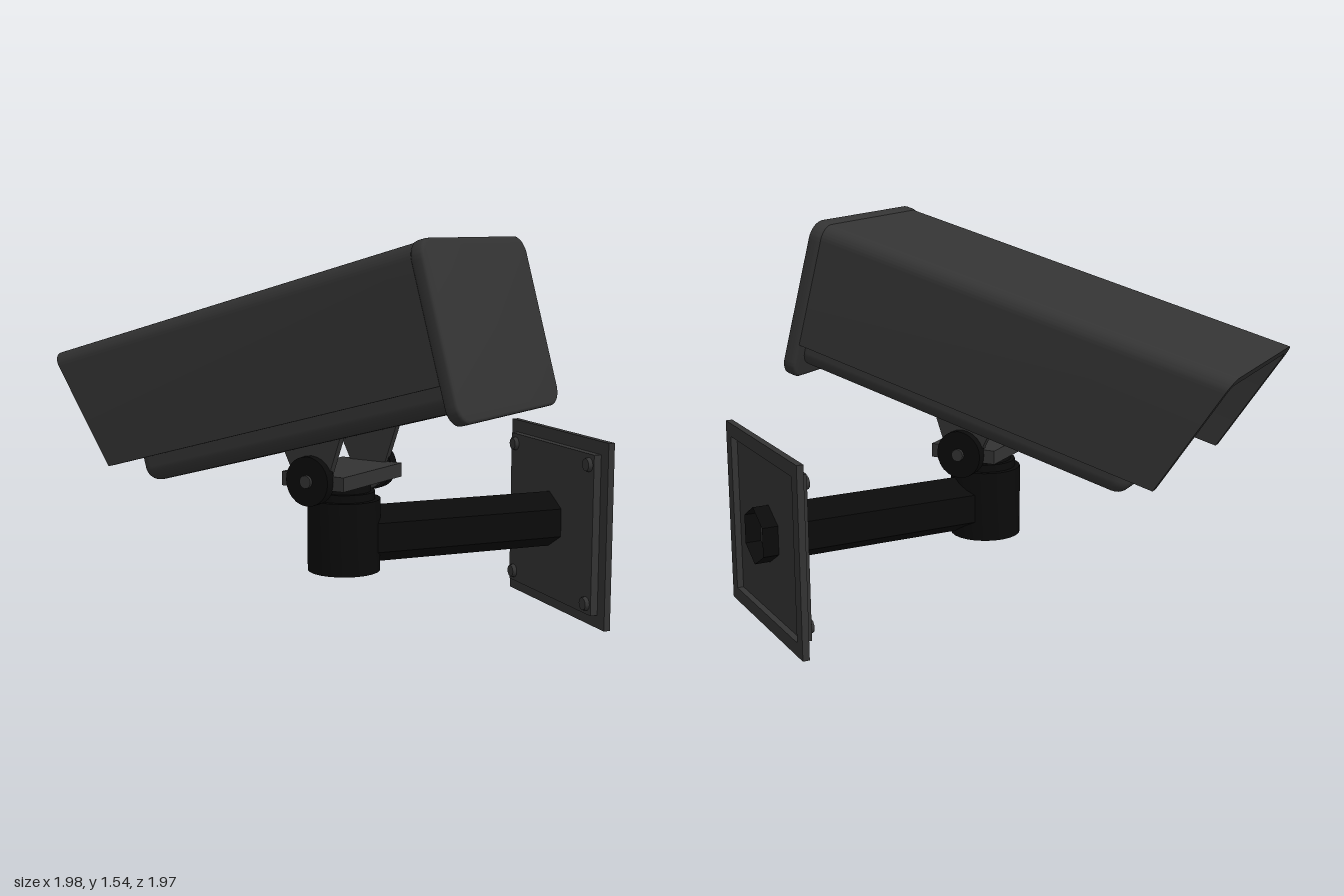
import * as THREE from 'three';
import { toCreasedNormals } from 'three/addons/utils/BufferGeometryUtils.js';
import { RoundedBoxGeometry } from 'three/addons/geometries/RoundedBoxGeometry.js';

const YAW = THREE.MathUtils.degToRad(35);
const PITCH = THREE.MathUtils.degToRad(15.3);

const grey = new THREE.MeshStandardMaterial({ color: 0x333333, side: THREE.DoubleSide });
const black = new THREE.MeshStandardMaterial({ color: 0x0a0a0a, side: THREE.DoubleSide });

function add(parent, name, geometry, material, x = 0, y = 0, z = 0) {
  const mesh = new THREE.Mesh(geometry, material);
  mesh.name = name;
  mesh.position.set(x, y, z);
  parent.add(mesh);
  return mesh;
}

function roundedRect(w, h, r) {
  const s = new THREE.Shape();
  const a = w / 2, b = h / 2;
  s.moveTo(-a + r, -b);
  s.lineTo(a - r, -b).absarc(a - r, -b + r, r, -Math.PI / 2, 0);
  s.lineTo(a, b - r).absarc(a - r, b - r, r, 0, Math.PI / 2);
  s.lineTo(-a + r, b).absarc(-a + r, b - r, r, Math.PI / 2, Math.PI);
  s.lineTo(-a, -b + r).absarc(-a + r, -b + r, r, Math.PI, Math.PI * 1.5);
  return s;
}

// U-shaped cover, open below and behind, with a slanted rear edge
function coverGeometry() {
  const w = 0.385, low = -0.506, top = -0.005, r = 0.06, wall = 0.035;
  const s = new THREE.Shape();
  s.moveTo(w, low);
  s.lineTo(w, top - r).absarc(w - r, top - r, r, 0, Math.PI / 2);
  s.lineTo(-w + r, top).absarc(-w + r, top - r, r, Math.PI / 2, Math.PI);
  s.lineTo(-w, low).lineTo(-w + wall, low);
  const i = w - wall, ri = r - wall;
  s.lineTo(-i, top - r).absarc(-w + r, top - r, ri, Math.PI, Math.PI / 2, true);
  s.lineTo(w - r, top - wall).absarc(w - r, top - r, ri, Math.PI / 2, 0, true);
  s.lineTo(i, low);
  const g = new THREE.ExtrudeGeometry(s, { depth: 1.77, bevelEnabled: false, curveSegments: 8 });
  g.translate(0, 0, -1.795);
  const p = g.attributes.position;
  for (let k = 0; k < p.count; k++) {
    if (p.getZ(k) < -1) p.setZ(k, p.getZ(k) - p.getY(k) * 0.333);
  }
  return toCreasedNormals(g, 0.6);
}

function buildHead() {
  const head = new THREE.Group();
  head.name = 'cameraHead';
  head.rotation.order = 'YXZ';
  head.rotation.set(-PITCH, YAW, 0);
  head.position.set(0.309, 1.55, 0.638);

  add(head, 'cover', coverGeometry(), grey);
  add(head, 'housing', new RoundedBoxGeometry(0.67, 0.56, 1.5, 4, 0.06), grey, 0, -0.325, -0.76);

  // front plate with softened edges
  const bevel = 0.012;
  const plate = new THREE.ExtrudeGeometry(roundedRect(0.79 - 2 * bevel, 0.655 - 2 * bevel, 0.06), {
    depth: 0.03, bevelSize: bevel, bevelThickness: bevel, bevelSegments: 3, curveSegments: 8,
  });
  add(head, 'frontPlate', toCreasedNormals(plate, 0.6), grey, 0, -0.3275, -0.042);

  // cable outlet at the rear of the housing
  const outlet = new THREE.CylinderGeometry(0.15, 0.15, 0.08, 24).rotateX(Math.PI / 2);
  add(head, 'cableOutlet', outlet, black, 0, -0.32, -1.53);
  return head;
}

// Swivel joint under the housing, turned with the camera
function buildJoint() {
  const joint = new THREE.Group();
  joint.name = 'swivelJoint';
  joint.position.set(-0.015, 0, 0.175);
  joint.rotation.y = YAW;
  add(joint, 'swivelPlate', new THREE.BoxGeometry(0.42, 0.055, 0.28), grey, 0, 0.63, 0);

  // tapered ear, drawn in profile and turned to face sideways
  const ear = new THREE.Shape();
  ear.moveTo(-0.14, 0.13);
  ear.lineTo(-0.06, -0.03).absarc(0, -0.03, 0.06, Math.PI, Math.PI * 2);
  ear.lineTo(0.14, 0.205);
  const earGeo = new THREE.ExtrudeGeometry(ear, { depth: 0.03, bevelEnabled: false, curveSegments: 8 });
  earGeo.translate(0, 0, -0.015).rotateY(-Math.PI / 2);

  for (const side of [-1, 1]) {
    add(joint, 'ear', earGeo, grey, side * 0.2, 0.635, 0);
    const knob = new THREE.CylinderGeometry(0.095, 0.095, 0.045, 24).rotateZ(Math.PI / 2);
    add(joint, 'knob', knob, black, side * 0.225, 0.635, 0);
    const bolt = new THREE.CylinderGeometry(0.025, 0.025, 0.02, 12).rotateZ(Math.PI / 2);
    add(joint, 'knobBolt', bolt, grey, side * 0.25, 0.635, 0);
  }
  return joint;
}

function buildMount() {
  const mount = new THREE.Group();
  mount.name = 'wallMount';

  // upright post with stepped neck
  const profile = [[0, 0.25], [0.143, 0.25], [0.143, 0.535], [0.122, 0.535], [0.122, 0.565],
    [0.105, 0.565], [0.105, 0.61], [0, 0.61]].map(([r, y]) => new THREE.Vector2(r, y));
  const post = toCreasedNormals(new THREE.LatheGeometry(profile, 24), 0.6);
  add(mount, 'post', post, black, -0.01, 0, 0.175);

  // open six-sided arm running through the wall plate
  const arm = new THREE.CylinderGeometry(0.115, 0.115, 0.95, 6, 1, true);
  arm.rotateZ(-Math.PI / 2);
  // put corners at top and bottom
  arm.rotateX(Math.PI / 2);
  arm.computeBoundingBox();
  if (arm.boundingBox.max.y < 0.11) arm.rotateX(Math.PI / 6);
  add(mount, 'arm', toCreasedNormals(arm, 0.6), black, 0.525, 0.385, 0.175);

  // wall plate: outer rim with a raised panel, hollow at the back
  const rim = new THREE.Shape();
  rim.moveTo(-0.39, -0.375).lineTo(0.39, -0.375).lineTo(0.39, 0.375).lineTo(-0.39, 0.375);
  const opening = new THREE.Path();
  opening.moveTo(-0.335, -0.32).lineTo(-0.335, 0.32).lineTo(0.335, 0.32).lineTo(0.335, -0.32);
  rim.holes.push(opening);
  const rimGeo = new THREE.ExtrudeGeometry(rim, { depth: 0.027, bevelEnabled: false }).rotateY(Math.PI / 2);
  add(mount, 'wallPlateRim', rimGeo, grey, 0.935, 0.378, 0.18);
  add(mount, 'wallPlatePanel', new THREE.BoxGeometry(0.033, 0.645, 0.675), grey, 0.92, 0.378, 0.18);

  // corner screws
  for (const y of [-0.28, 0.28]) {
    for (const z of [-0.3, 0.3]) {
      const screw = new THREE.CylinderGeometry(0.025, 0.03, 0.02, 12).rotateZ(Math.PI / 2);
      add(mount, 'screw', screw, grey, 0.897, 0.378 + y, 0.18 + z);
    }
  }
  return mount;
}

export function createModel() {
  const model = new THREE.Group();
  model.name = 'securityCamera';
  model.add(buildHead(), buildJoint(), buildMount());
  return model;
}
